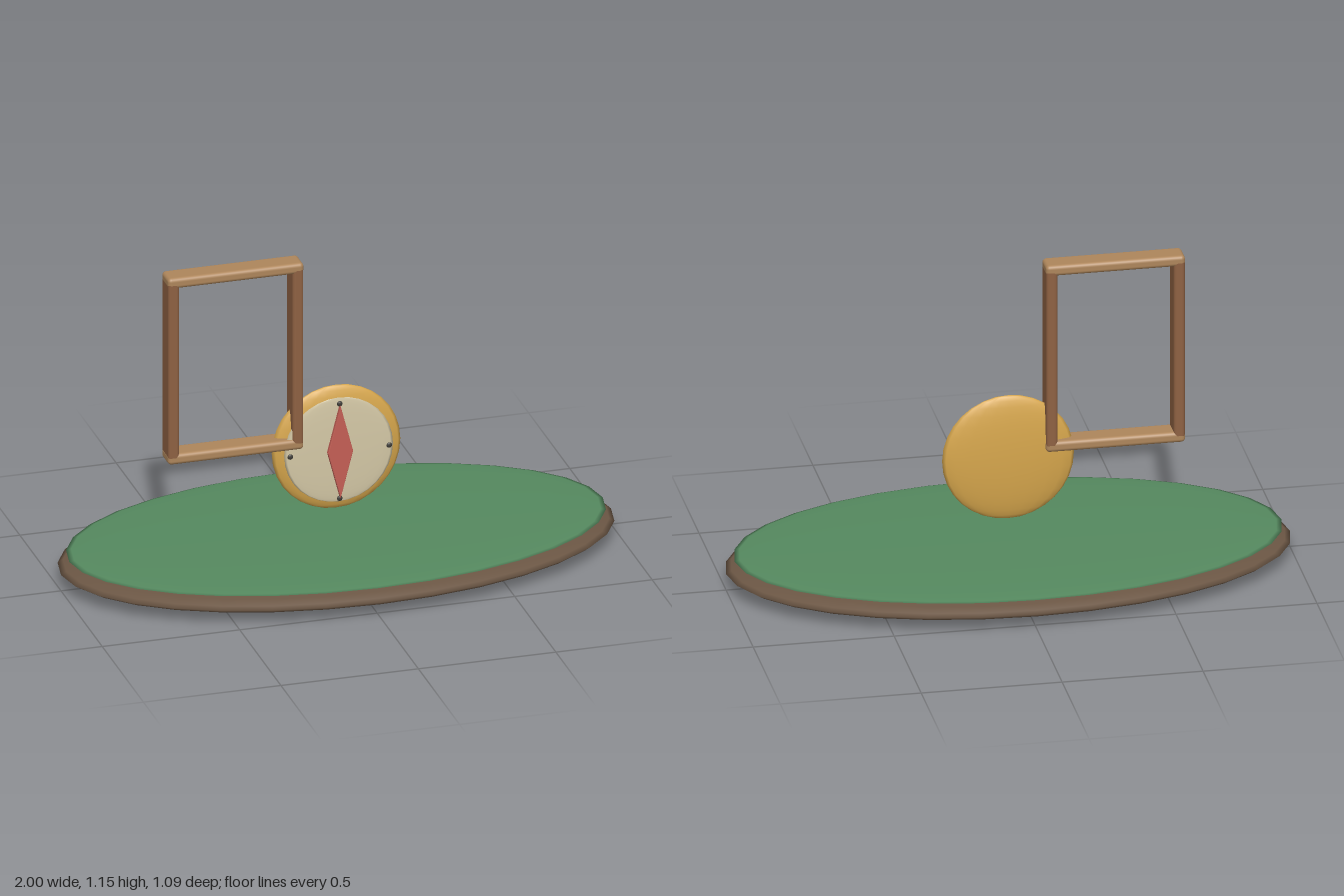
import * as THREE from 'three';
import { RoundedBoxGeometry } from 'three/addons/geometries/RoundedBoxGeometry.js';

const mat = (name, color) => {
  const m = new THREE.MeshStandardMaterial({ color });
  m.name = name;
  return m;
};

export function createModel() {
  const group = new THREE.Group();
  const earth = mat('earth brown', 0x6b5644);
  const green = mat('grass green', 0x55895f);
  const tan = mat('light wood', 0xae865b);
  const wood = mat('wood', 0x8e6142);
  const gold = mat('gold', 0xd6a64c);
  const cream = mat('cream', 0xd4c8a6);
  const red = mat('needle red', 0xc45f55);
  const dark = mat('dark grey', 0x3f3d38);

  const add = (name, geometry, material, x, y, z) => {
    const mesh = new THREE.Mesh(geometry, material);
    mesh.name = name;
    mesh.position.set(x, y, z);
    group.add(mesh);
    return mesh;
  };
  // Squashed sphere with the given radii
  const ellipsoid = (name, material, pos, radii, segs) =>
    add(name, new THREE.SphereGeometry(1, segs, 16).scale(...radii), material, ...pos);

  // Oval base with a turf layer
  ellipsoid('base', earth, [0, 0.06, 0], [1, 0.06, 0.545], 32);
  ellipsoid('turf', green, [0, 0.106, 0], [0.97, 0.017, 0.525], 32);

  // Open rectangular frame
  for (const y of [0.465, 1.135])
    add('frameRail', new RoundedBoxGeometry(0.494, 0.04, 0.086, 3, 0.014), tan, -0.375, y, 0);
  for (const x of [-0.601, -0.149])
    add('framePost', new RoundedBoxGeometry(0.04, 0.68, 0.086, 3, 0.012), wood, x, 0.8, 0);

  // Compass body and dial
  const cy = 0.425;
  ellipsoid('compassBody', gold, [0, cy, 0], [0.234, 0.234, 0.034], 20);
  ellipsoid('dial', cream, [0, cy, 0.031], [0.198, 0.198, 0.008], 20);

  // Diamond needle
  const diamond = new THREE.Shape([[0, 0.172], [-0.043, 0], [0, -0.172], [0.043, 0]]
    .map(([x, y]) => new THREE.Vector2(x, y)));
  const needle = new THREE.ExtrudeGeometry(diamond, {
    depth: 0.009, bevelEnabled: true, bevelThickness: 0.004, bevelSize: 0.003, bevelSegments: 2,
  });
  add('needle', needle, red, 0, cy, 0.045);

  // Four direction markers
  for (const [x, y] of [[0, 0.18], [0, -0.18], [0.18, 0], [-0.18, 0]])
    ellipsoid('marker', dark, [x, cy + y, 0.046], [0.01, 0.01, 0.005], 12);

  return group;
}
